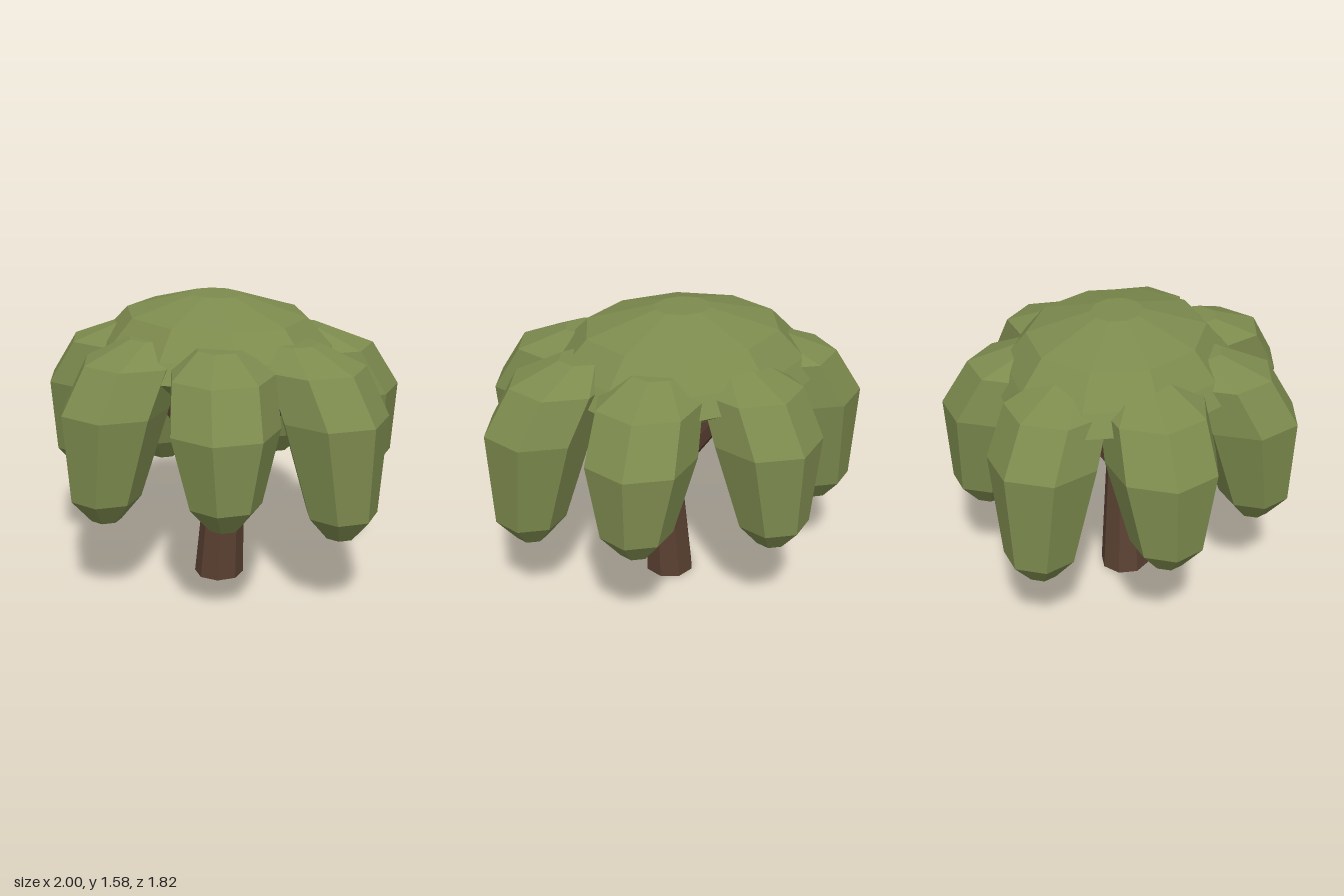
import * as THREE from 'three';

const leafMaterial = new THREE.MeshStandardMaterial({ color: 0x7d8b4e, flatShading: true });
const barkMaterial = new THREE.MeshStandardMaterial({ color: 0x5a4032, flatShading: true });

// Closed faceted solid through horizontal rings [x, y, z, radiusX, radiusZ], bottom to top
function loft(name, rings, sides, material) {
  const positions = [];
  const point = ([x, y, z, rx, rz = rx], j) => {
    const a = (j / sides) * Math.PI * 2;
    return [x + rx * Math.cos(a), y, z + rz * Math.sin(a)];
  };
  const tri = (a, b, c) => positions.push(...a, ...b, ...c);
  const first = rings[0], last = rings[rings.length - 1];
  for (let j = 0; j < sides; j++) {
    for (let i = 0; i < rings.length - 1; i++) {
      const a = point(rings[i], j), b = point(rings[i], j + 1);
      const c = point(rings[i + 1], j + 1), d = point(rings[i + 1], j);
      tri(a, d, c);
      tri(a, c, b);
    }
    tri(first.slice(0, 3), point(first, j), point(first, j + 1));
    tri(last.slice(0, 3), point(last, j + 1), point(last, j));
  }
  const geometry = new THREE.BufferGeometry();
  geometry.setAttribute('position', new THREE.Float32BufferAttribute(positions, 3));
  geometry.computeVertexNormals();
  const mesh = new THREE.Mesh(geometry, material);
  mesh.name = name;
  return mesh;
}

// Straight tapered limb between two points
function branch(from, to, r0, r1) {
  const dir = to.clone().sub(from);
  const mesh = new THREE.Mesh(new THREE.CylinderGeometry(r1, r0, dir.length(), 6), barkMaterial);
  mesh.position.copy(from).addScaledVector(dir, 0.5);
  mesh.quaternion.setFromUnitVectors(new THREE.Vector3(0, 1, 0), dir.normalize());
  mesh.name = 'branch';
  return mesh;
}

// Hanging foliage clump whose crown bends in towards the trunk
function droop([x, z, bottom]) {
  const out = new THREE.Vector2(x + 0.1, z + 0.03).normalize();
  const ring = (y, shift, r) => [x + out.x * shift, y, z + out.y * shift, r];
  return loft('hangingFoliage', [
    ring(bottom, 0.07, 0.08),
    ring(bottom + 0.125, 0.07, 0.185),
    ring(1.08, 0, 0.28),
    ring(1.31, -0.13, 0.265),
    ring(1.41, -0.25, 0.12),
  ], 7, leafMaterial);
}

export function createModel() {
  const tree = new THREE.Group();
  tree.name = 'tree';

  // Leaning trunk
  tree.add(loft('trunk', [
    [-0.035, 0, -0.015, 0.136],
    [0.01, 0.7, -0.025, 0.1],
  ], 8, barkMaterial));

  // Limbs spreading up into the crown
  const limbs = new THREE.Group();
  limbs.name = 'branches';
  for (let i = 0; i < 5; i++) {
    const a = THREE.MathUtils.degToRad(30 + i * 72);
    const from = new THREE.Vector3(0.01 + 0.03 * Math.cos(a), 0.62, -0.025 + 0.03 * Math.sin(a));
    const to = new THREE.Vector3(-0.03 + 0.45 * Math.cos(a), 1.22, -0.03 + 0.45 * Math.sin(a));
    limbs.add(branch(from, to, 0.055, 0.045));
  }
  tree.add(limbs);

  // Broad flattened dome on top
  const crown = [[1.12, 0.5], [1.24, 0.73], [1.34, 0.66], [1.48, 0.52], [1.58, 0.15]];
  tree.add(loft('crown', crown.map(([y, r]) => [-0.09, y, -0.04, r, r * 0.87]), 10, leafMaterial));

  // Ring of hanging clumps: centre x, centre z, lowest height
  const clumps = new THREE.Group();
  clumps.name = 'hangingClumps';
  [
    [-0.1, 0.635, 0.5], [0.51, 0.44, 0.6], [0.72, -0.1, 0.46], [0.37, -0.58, 0.58],
    [-0.28, -0.64, 0.51], [-0.745, -0.23, 0.44], [-0.66, 0.33, 0.55],
  ].forEach((c) => clumps.add(droop(c)));
  tree.add(clumps);

  return tree;
}
